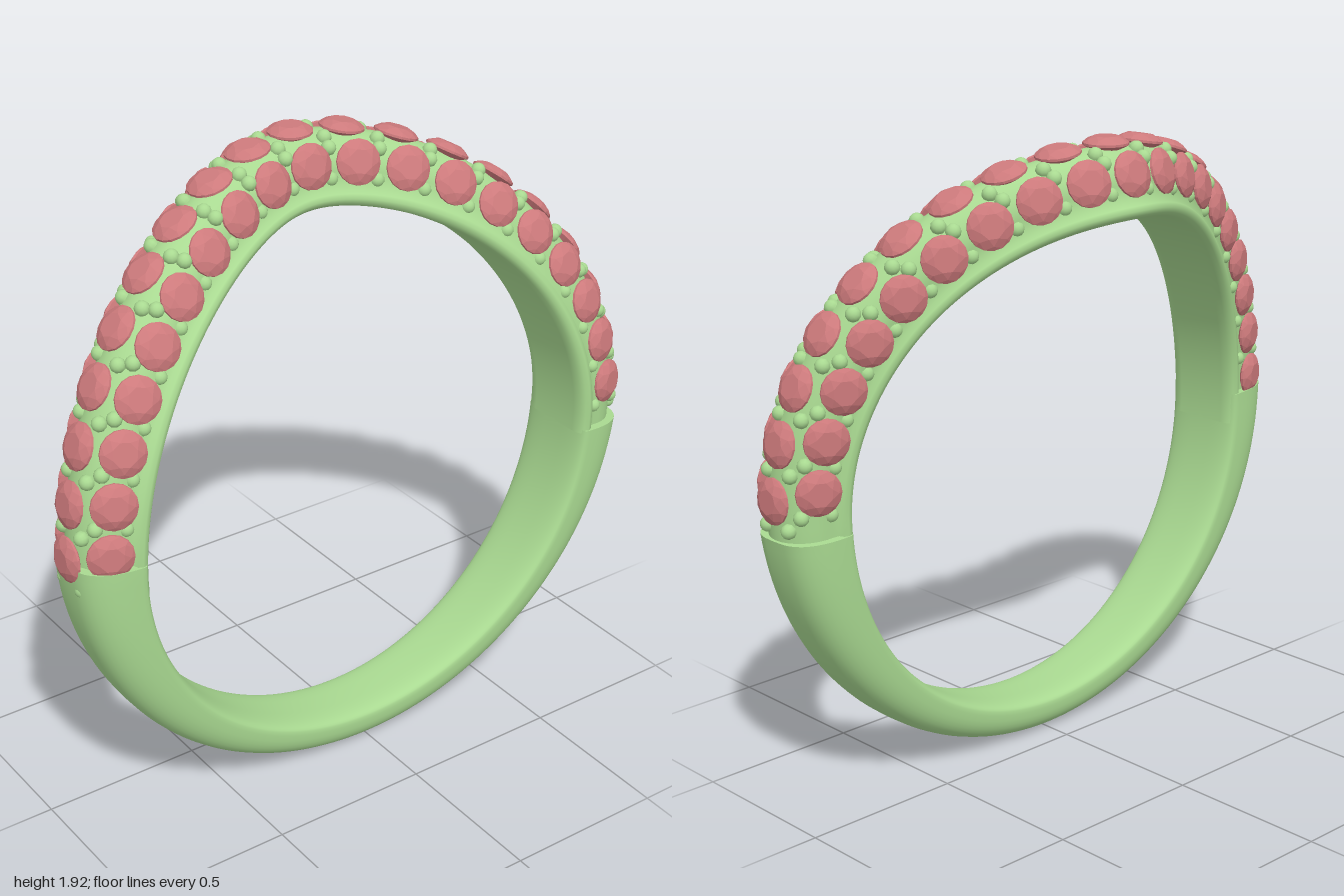
import * as THREE from 'three';
import { ConvexGeometry } from 'three/addons/geometries/ConvexGeometry.js';

const CY = 0.905, R = 0.785;          // centre height and radius of the finger hole
const rad = THREE.MathUtils.degToRad;
const green = new THREE.MeshStandardMaterial({ color: 0xa9d991 });
const rose = new THREE.MeshStandardMaterial({ color: 0xcd7a7c, flatShading: true });

// Sideways position of the band: flat below, bent to a soft V above
function bandZ(t) {
  if (Math.sin(t) < 0) return 0.168;
  const x = 0.835 * Math.cos(t);
  return -0.16 + 0.47 * (Math.hypot(x, 0.15) - 0.15);
}

// Point on the band: u across the width, v outward from the hole
function bandPoint(t, u, v) {
  return new THREE.Vector3((R + v) * Math.cos(t), CY + (R + v) * Math.sin(t), bandZ(t) + u);
}

// Height of the centre of the domed setting above the hole
const domeV = (t) => 0.079 + 0.013 * Math.max(0, Math.sin(t));

// Point on the dome at lean phi and distance d, with its outward direction
function domeSpot(t, phi, d) {
  const out = new THREE.Vector3(Math.cos(t), Math.sin(t), 0);
  const dz = (bandZ(t + 0.01) - bandZ(t - 0.01)) / 0.02;
  const along = new THREE.Vector3(-Math.sin(t), Math.cos(t), dz / 0.9).normalize();
  const across = new THREE.Vector3().crossVectors(out, along);
  return {
    position: bandPoint(t, d * Math.sin(phi), domeV(t) + d * Math.cos(phi)),
    normal: out.multiplyScalar(Math.cos(phi)).addScaledVector(across, Math.sin(phi)).normalize(),
  };
}

// Sweeps a closed section(t) -> [[u, v], ...] from angle t0 to t1 and caps both ends
function sweep(section, t0, t1, steps) {
  const pos = [], index = [];
  const n = section(t0).length;
  const addRing = (t) => section(t).forEach(([u, v]) => pos.push(...bandPoint(t, u, v).toArray()));
  for (let i = 0; i <= steps; i++) addRing(t0 + (t1 - t0) * i / steps);
  for (let i = 0; i < steps; i++) {
    for (let j = 0; j < n; j++) {
      const a = i * n + j, b = i * n + (j + 1) % n;
      index.push(a, b, b + n, a, b + n, a + n);
    }
  }
  [t0, t1].forEach((t, end) => {
    const base = pos.length / 3;
    addRing(t);
    pos.push(...bandPoint(t, 0, 0.08).toArray());
    for (let j = 0; j < n; j++) {
      const a = base + j, b = base + (j + 1) % n;
      if (end) index.push(base + n, a, b);
      else index.push(base + n, b, a);
    }
  });
  const geo = new THREE.BufferGeometry();
  geo.setAttribute('position', new THREE.Float32BufferAttribute(pos, 3));
  geo.setIndex(index);
  geo.computeVertexNormals();
  return geo;
}

// Plain lower band: rounded section, thinner and narrower at the bottom
function shankSection(t) {
  const c = Math.cos(t), s = Math.sin(t);
  const thick = 0.085 * s + Math.sqrt(0.98 - 0.0072 * c * c) - R;
  const half = 0.11 + 0.027 * c * c;
  const low = 0.035, pts = [];
  const pow = (x, p) => Math.sign(x) * Math.abs(x) ** p;
  for (let k = 0; k < 40; k++) {
    const a = k / 40 * Math.PI * 2, sa = Math.sin(a);
    pts.push([
      half * pow(Math.cos(a), 0.65),
      low + (sa > 0 ? (thick - low) * pow(sa, 0.85) : low * pow(sa, 0.6)),
    ]);
  }
  return pts;
}

// Upper band: a lip on each edge with a dome between that carries the stones
function settingSection(t) {
  const half = 0.133 + 0.01 * Math.max(0, Math.sin(t));
  const lip = [[half - 0.045, 0], [half - 0.02, 0.004], [half - 0.005, 0.015],
    [half, 0.03], [half - 0.006, 0.044], [half - 0.022, 0.05]];
  const pts = [...lip];
  for (let k = 0; k <= 16; k++) {
    const phi = rad(95 - 190 * k / 16);
    pts.push([0.108 * Math.sin(phi), domeV(t) + 0.108 * Math.cos(phi)]);
  }
  lip.reverse().forEach(([u, v]) => pts.push([-u, v]));
  return pts;
}

// Faceted round stone, table facing +y
function stoneGeometry() {
  const pts = [new THREE.Vector3(0, -0.04, 0)];
  const ring = (count, r, y, shift) => {
    for (let k = 0; k < count; k++) {
      const a = (k + shift) / count * Math.PI * 2;
      pts.push(new THREE.Vector3(r * Math.cos(a), y, r * Math.sin(a)));
    }
  };
  ring(16, 0.068, -0.004, 0);
  ring(16, 0.068, 0.003, 0);
  ring(8, 0.056, 0.0125, 0.5);
  ring(8, 0.037, 0.021, 0);
  return new ConvexGeometry(pts);
}

export function createModel() {
  const model = new THREE.Group();
  model.name = 'ring';
  const add = (parent, name, geo, mat) => {
    const mesh = new THREE.Mesh(geo, mat);
    mesh.name = name;
    parent.add(mesh);
    return mesh;
  };

  add(model, 'shank', sweep(shankSection, rad(-183.2), rad(3.2 - 6.4), 96), green);
  add(model, 'stoneSetting', sweep(settingSection, rad(-4), rad(184), 120), green);

  const stones = new THREE.Group();
  stones.name = 'stones';
  const beads = new THREE.Group();
  beads.name = 'beadProngs';
  model.add(stones, beads);

  const stone = stoneGeometry();
  const bead = new THREE.CapsuleGeometry(0.023, 0.03, 4, 10);
  const up = new THREE.Vector3(0, 1, 0);
  const place = (mesh, deg, lean, d) => {
    const spot = domeSpot(rad(deg), rad(lean), d);
    mesh.position.copy(spot.position);
    mesh.quaternion.setFromUnitVectors(up, spot.normal);
  };

  // Three rows of 19 stones, with beads in the gaps along each row's edges
  const rows = [
    { name: 'middle', lean: 0, start: 3.7, beadLeans: [-26, 26] },
    { name: 'front', lean: 70, start: 6, beadLeans: [46, 96] },
    { name: 'back', lean: -70, start: 6, beadLeans: [-46, -96] },
  ];
  for (const row of rows) {
    const step = (90 - row.start) / 9;
    for (let i = 0; i < 19; i++) {
      place(add(stones, row.name + 'Stone', stone, rose), row.start + i * step, row.lean, 0.115);
    }
    for (let i = 0; i <= 19; i++) {
      for (const lean of row.beadLeans) {
        const outer = Math.abs(lean) > 90;
        place(add(beads, row.name + 'Bead', bead, green), row.start + (i - 0.5) * step, lean, outer ? 0.085 : 0.094);
      }
    }
  }
  return model;
}
